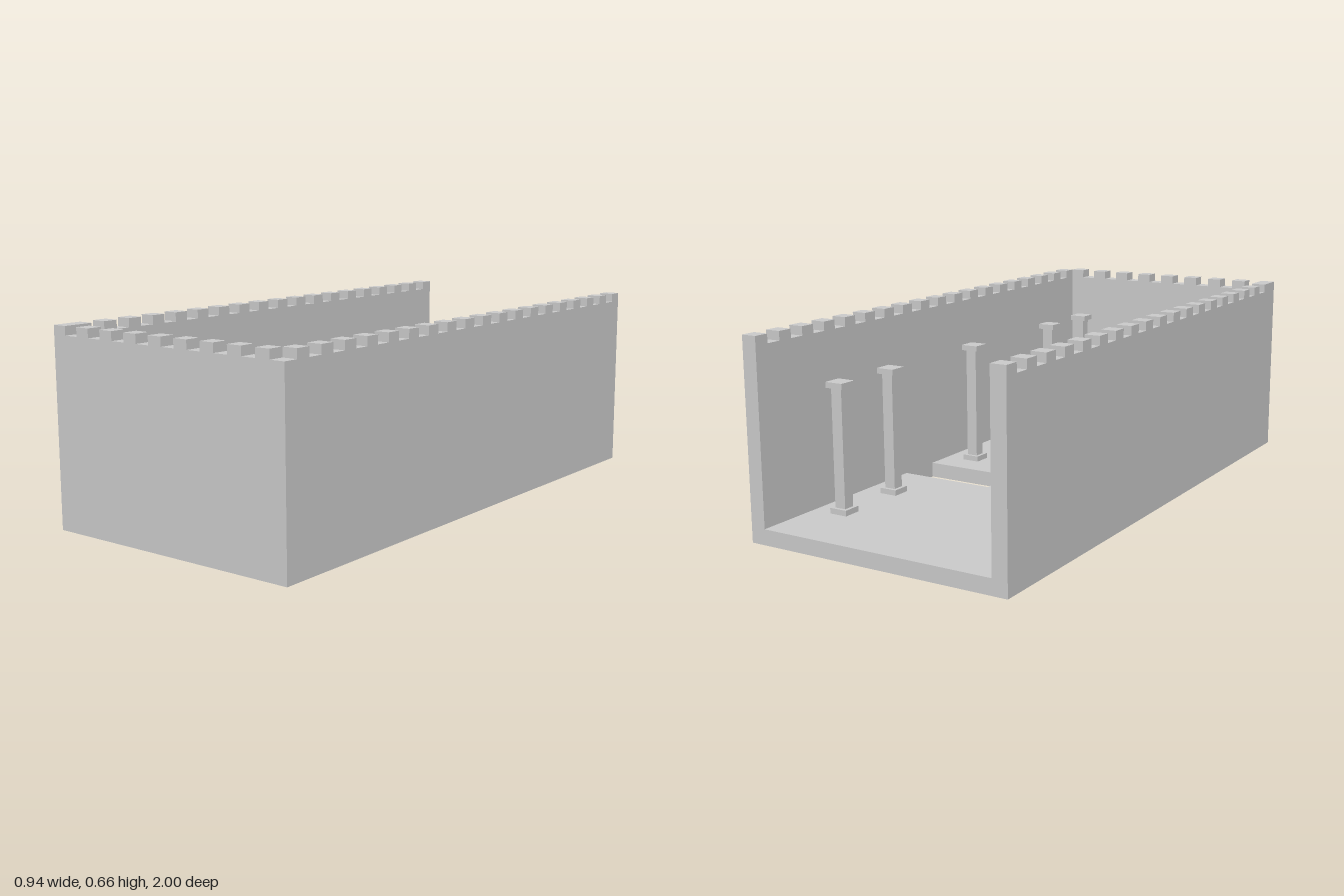
import * as THREE from 'three';

const HALF_W = 0.471, HALF_L = 1, T = 0.0525;   // outer half sizes, wall thickness
const WALL_H = 0.63, TOP = 0.66;                // wall top, merlon top
const FLOOR = 0.0525, DAIS = 0.183;             // walking levels
const IN_X = HALF_W - T, IN_Z = HALF_L - T;     // inner faces of the walls
const GAP_BACK = -0.265, GAP_FRONT = -0.106;    // channel across the floor

const material = new THREE.MeshStandardMaterial({ color: 0xcccccc, flatShading: true });

// Box given by its lower and upper limits on each axis
function box(name, [x0, x1], [y0, y1], [z0, z1]) {
  const mesh = new THREE.Mesh(new THREE.BoxGeometry(x1 - x0, y1 - y0, z1 - z0), material);
  mesh.position.set((x0 + x1) / 2, (y0 + y1) / 2, (z0 + z1) / 2);
  mesh.name = name;
  return mesh;
}

// Square pillar with plinth and capital, from floor level y0 up to y1
function pillar(x, z, y0, y1) {
  const group = new THREE.Group();
  group.name = 'pillar';
  const block = (name, w, a, b) => box(name, [x - w / 2, x + w / 2], [a, b], [z - w / 2, z + w / 2]);
  group.add(
    block('plinth', 0.064, y0, y0 + 0.019),
    block('shaft', 0.04, y0 + 0.019, y1 - 0.019),
    block('capital', 0.064, y1 - 0.019, y1)
  );
  return group;
}

// Flight of steps as one extruded profile, last tread level with the dais
function stairs(count, z0, z1, halfWidth) {
  const shape = new THREE.Shape();
  const run = (z1 - z0) / count, rise = (DAIS - FLOOR) / count;
  shape.moveTo(z0, FLOOR);
  for (let i = 0; i < count; i++) {
    shape.lineTo(z0 + i * run, FLOOR + (i + 1) * rise);
    shape.lineTo(z0 + (i + 1) * run, FLOOR + (i + 1) * rise);
  }
  shape.lineTo(z1, FLOOR);
  const geometry = new THREE.ExtrudeGeometry(shape, { depth: halfWidth * 2, bevelEnabled: false });
  geometry.rotateY(-Math.PI / 2);               // profile x becomes z, depth becomes -x
  geometry.translate(halfWidth, 0, 0);
  const mesh = new THREE.Mesh(geometry, material);
  mesh.name = 'stairs';
  return mesh;
}

export function createModel() {
  const model = new THREE.Group();
  model.name = 'castleHall';

  // Floor in two slabs with a thin bridge over the channel
  model.add(
    box('backFloor', [-IN_X, IN_X], [0, FLOOR], [-HALF_L, GAP_BACK]),
    box('mainFloor', [-IN_X, IN_X], [0, FLOOR], [GAP_FRONT, IN_Z]),
    box('bridge', [-0.072, 0.072], [FLOOR - 0.007, FLOOR], [GAP_BACK, GAP_FRONT])
  );

  // Raised dais and its steps
  model.add(
    box('dais', [-IN_X, IN_X], [FLOOR, DAIS], [0.418, IN_Z]),
    stairs(8, 0.106, 0.418, 0.21)
  );

  // Walls on three sides, open at the back
  model.add(
    box('leftWall', [IN_X, HALF_W], [0, WALL_H], [-HALF_L, HALF_L]),
    box('rightWall', [-HALF_W, -IN_X], [0, WALL_H], [-HALF_L, HALF_L]),
    box('frontWall', [-IN_X, IN_X], [0, WALL_H], [IN_Z, HALF_L])
  );

  // Merlons along the side walls
  const battlements = new THREE.Group();
  battlements.name = 'battlements';
  const sideStep = (HALF_L + IN_Z) / 37;
  for (let i = 0; i < 19; i++) {
    const z = -HALF_L + 2 * i * sideStep;
    battlements.add(
      box('leftMerlon', [IN_X, HALF_W], [WALL_H, TOP], [z, z + sideStep]),
      box('rightMerlon', [-HALF_W, -IN_X], [WALL_H, TOP], [z, z + sideStep])
    );
  }
  // Merlons along the front wall, leaving the left corner empty
  const frontStep = (HALF_W + IN_X) / 17;
  for (let i = 0; i < 9; i++) {
    const x = -HALF_W + 2 * i * frontStep;
    battlements.add(box('frontMerlon', [x, x + frontStep], [WALL_H, TOP], [IN_Z, HALF_L]));
  }
  model.add(battlements);

  // Two rows of pillars, all reaching the same height
  for (const x of [-0.315, 0.315]) {
    for (const z of [-0.74, -0.478, 0.024, 0.578, 0.84]) {
      model.add(pillar(x, z, z > 0.418 ? DAIS : FLOOR, 0.486));
    }
  }
  return model;
}
